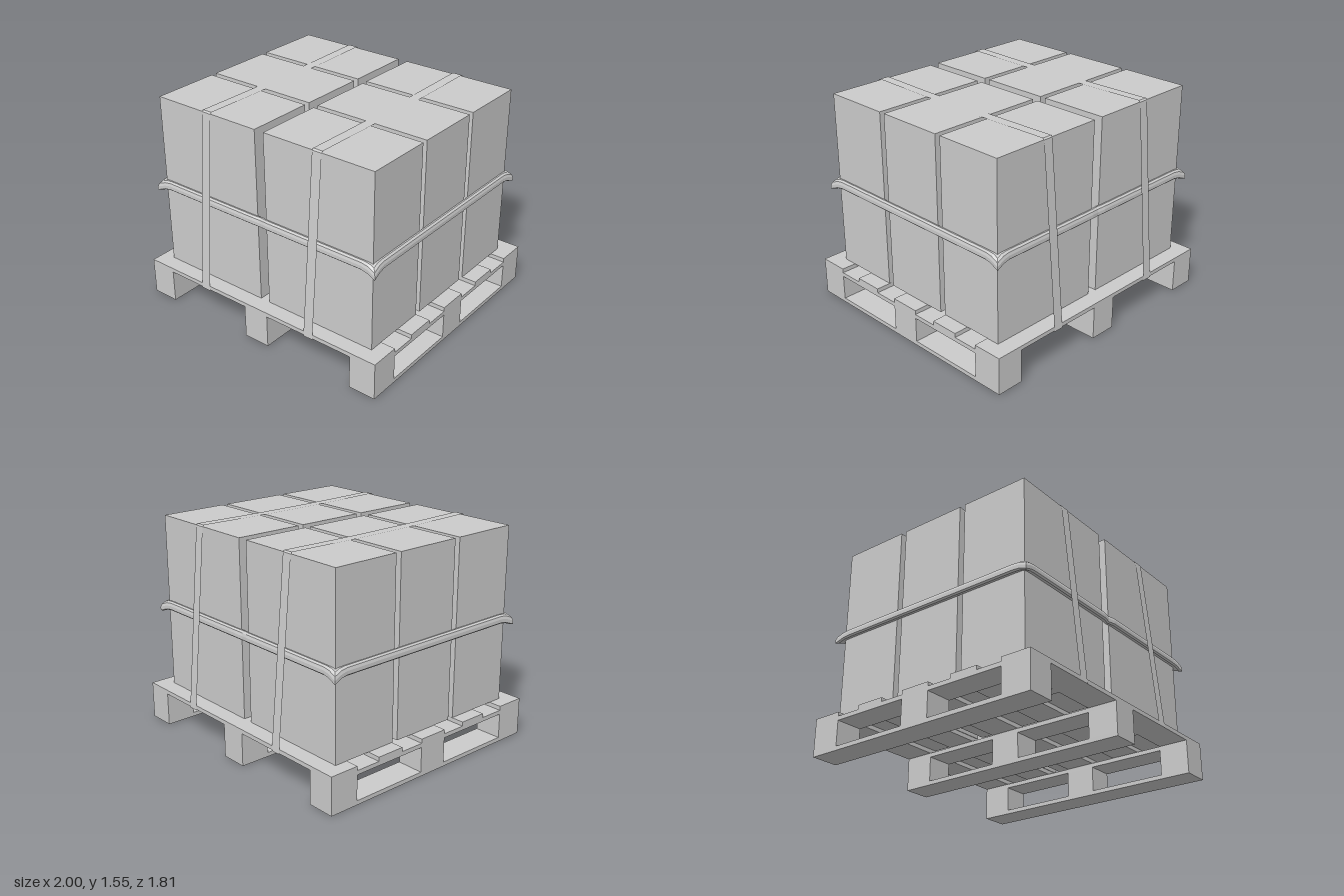
import * as THREE from 'three';

const grey = new THREE.MeshStandardMaterial({ color: 0xcccccc });
const sheet = new THREE.MeshStandardMaterial({ color: 0xcccccc, side: THREE.DoubleSide, flatShading: true });

// Box given by its extents on each axis
function block(parent, name, [x0, x1], [y0, y1], [z0, z1]) {
  const mesh = new THREE.Mesh(new THREE.BoxGeometry(x1 - x0, y1 - y0, z1 - z0), grey);
  mesh.position.set((x0 + x1) / 2, (y0 + y1) / 2, (z0 + z1) / 2);
  mesh.name = name;
  parent.add(mesh);
}

// Surface through equal-length rows of points; the rows and each row can close
function loft(name, rows, closeRows, closeRow) {
  const n = rows[0].length, index = [];
  for (let i = 0; i < rows.length - (closeRows ? 0 : 1); i++) {
    for (let j = 0; j < n - (closeRow ? 0 : 1); j++) {
      const i2 = (i + 1) % rows.length, j2 = (j + 1) % n;
      const a = i * n + j, b = i2 * n + j, c = i2 * n + j2, d = i * n + j2;
      index.push(a, b, c, a, c, d);
    }
  }
  const geometry = new THREE.BufferGeometry();
  geometry.setAttribute('position', new THREE.Float32BufferAttribute(rows.flat(2), 3));
  geometry.setIndex(index);
  geometry.computeVertexNormals();
  const mesh = new THREE.Mesh(geometry, sheet);
  mesh.name = name;
  return mesh;
}

function createPallet() {
  const pallet = new THREE.Group();
  pallet.name = 'pallet';
  const columns = [[-1, -0.8], [-0.1, 0.1], [0.8, 1]];
  const feet = [[-0.9, -0.685], [-0.11, 0.11], [0.685, 0.9]];
  for (const x of columns) {
    block(pallet, 'bottomRunner', x, [0, 0.03], [-0.9, 0.9]);
    block(pallet, 'stringer', x, [0.21, 0.24], [-0.9, 0.9]);
    for (const z of feet) block(pallet, 'footBlock', x, [0.03, 0.21], z);
  }
  // Deck boards run across the stringers
  for (const z of [...feet, [-0.5, -0.29], [0.29, 0.5]]) {
    block(pallet, 'deckBoard', [-1, 1], [0.24, 0.27], z);
  }
  return pallet;
}

function createCartons() {
  const cartons = new THREE.Group();
  cartons.name = 'cartons';
  for (const x of [[-0.904, -0.047], [0.026, 0.892]]) {
    for (const z of [[-0.781, -0.285], [-0.243, 0.25], [0.292, 0.788]]) {
      block(cartons, 'carton', x, [0.27, 1.54], z);
    }
  }
  return cartons;
}

// Thin strap over the load and under the deck
function createStrap(x) {
  const path = [
    [0.237, 0.905], [1.54, 0.792], [1.55, 0.78], [1.545, 0.43], [1.543, 0.22],
    [1.543, -0.22], [1.545, -0.43], [1.55, -0.774], [1.54, -0.785], [0.237, -0.905],
  ];
  const rows = path.map(([y, z]) => [[x - 0.037, y, z], [x + 0.037, y, z]]);
  return loft('verticalStrap', rows, true, false);
}

// Rounded band around the load, drooping and flaring at its corners
function createBand() {
  const x0 = -0.906, x1 = 0.894, z0 = -0.784, z1 = 0.79;
  const corners = [[x1, z1], [x1, z0], [x0, z0], [x0, z1]];
  const profile = [[0, 0.918], [0.015, 0.922], [0.029, 0.912], [0.035, 0.893], [0.035, 0.868], [0.024, 0.858], [0, 0.862]];
  const rows = [];
  const addRow = (x, z, nx, nz, droop, flare) => rows.push(profile.map(([out, y]) => {
    const o = out * (1 + flare);
    return [x + nx * o, y - droop * (0.25 + out / 0.035), z + nz * o];
  }));
  corners.forEach(([x, z], k) => {
    const [px, pz] = corners[(k + 3) % 4], [qx, qz] = corners[(k + 1) % 4];
    const dx = Math.sign(x - px), dz = Math.sign(z - pz);  // arriving direction
    const ex = Math.sign(qx - x), ez = Math.sign(qz - z);  // leaving direction
    // Outward normal of each side is the opposite side's travel direction
    addRow(x - dx * 0.07, z - dz * 0.07, -ex, -ez, 0, 0);
    addRow(x - dx * 0.02, z - dz * 0.02, -ex, -ez, 0.006, 0.1);
    addRow(x, z, dx - ex, dz - ez, 0.026, 0.3);
    addRow(x + ex * 0.02, z + ez * 0.02, dx, dz, 0.006, 0.1);
    addRow(x + ex * 0.07, z + ez * 0.07, dx, dz, 0, 0);
    // Slight dip where the front and back cross the gap between cartons
    if (ex !== 0) {
      for (const [gx, dip] of [[-ex * 0.06, 0], [0, 0.008], [ex * 0.06, 0]]) {
        addRow(gx - 0.01, z - dz * dip, dx, dz, dip / 2, 0);
      }
    }
  });
  return loft('horizontalBand', rows, true, true);
}

export function createModel() {
  const model = new THREE.Group();
  model.name = 'loadedPallet';
  model.add(createPallet(), createCartons(), createBand());
  for (const x of [-0.464, 0.462]) model.add(createStrap(x));
  return model;
}
